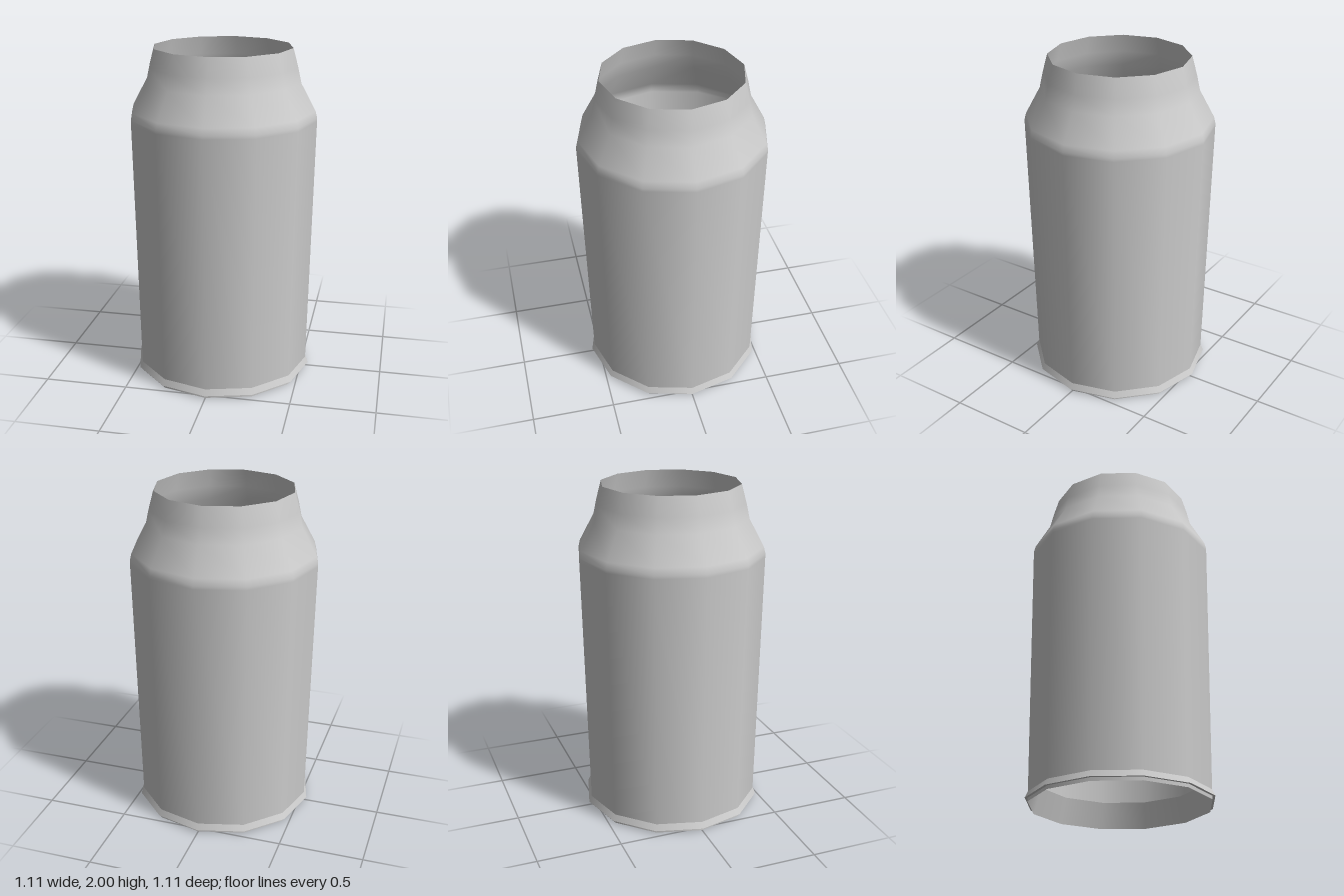
import * as THREE from 'three';

const SIDES = 12;

export function createModel() {
  const group = new THREE.Group();
  group.name = 'can';

  const metal = new THREE.MeshStandardMaterial({ color: 0xcccccc, side: THREE.DoubleSide });
  metal.name = 'bare metal';

  // Turns a [radius, height] profile, listed so that its faces point outward
  function addRing(name, profile) {
    const points = profile.map(([r, y]) => new THREE.Vector2(r, y));
    const mesh = new THREE.Mesh(new THREE.LatheGeometry(points, SIDES), metal);
    mesh.name = name;
    group.add(mesh);
  }

  // Recessed lip inside the open bottom
  addRing('innerLip', [[0.49, 0.155], [0.53, 0]]);

  // Short foot and the underside of the flare
  addRing('foot', [[0.53, 0], [0.53, 0.02]]);
  addRing('flareUnderside', [[0.53, 0.02], [0.547, 0.02]]);

  // Sloped flare above the foot
  addRing('flare', [[0.547, 0.02], [0.53, 0.057]]);

  // Tapered wall, rounded shoulder and open neck
  addRing('body', [
    [0.53, 0.057], [0.557, 1.58], [0.557, 1.6], [0.547, 1.64],
    [0.46, 1.8], [0.44, 1.89], [0.41, 2],
  ]);

  return group;
}
